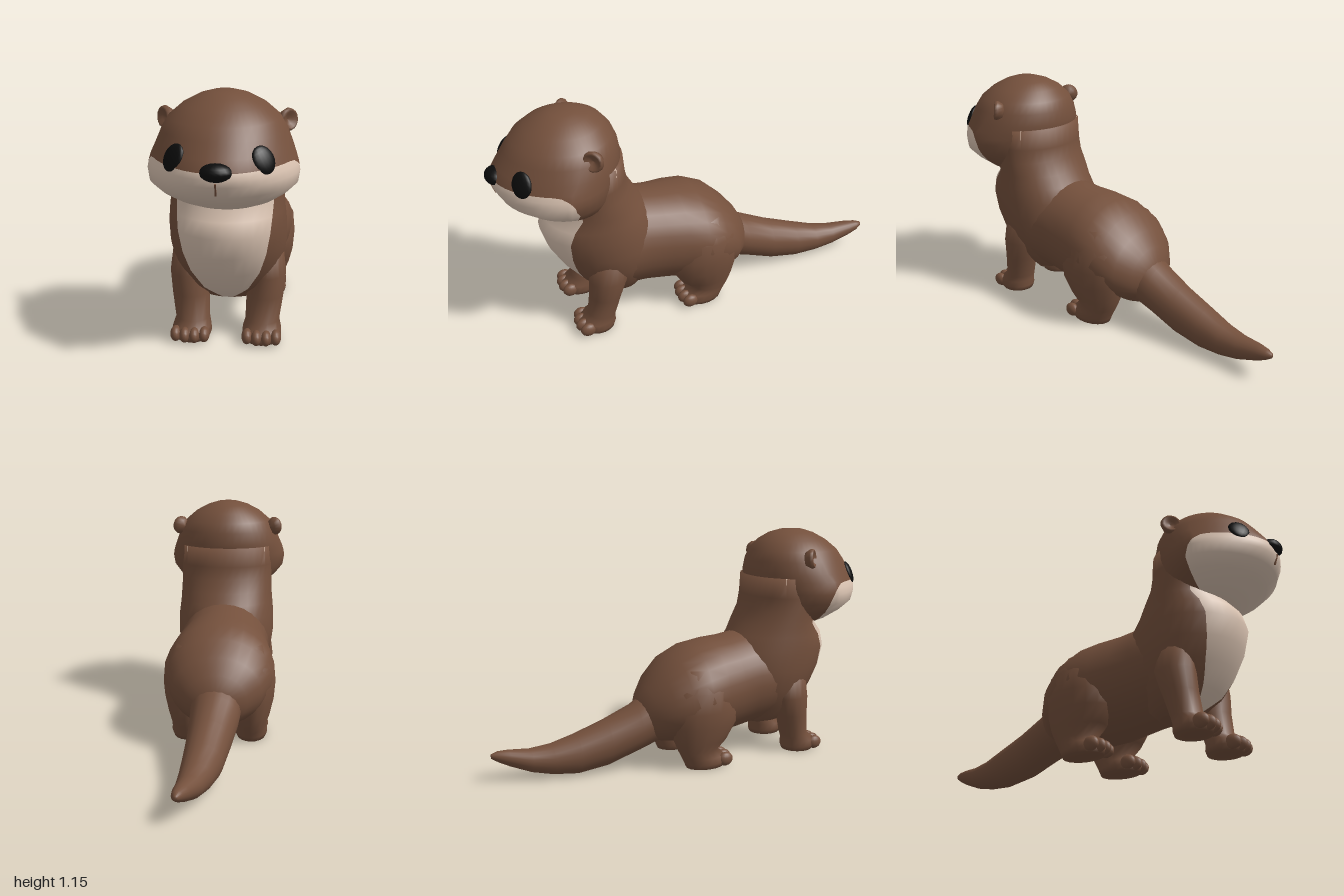
import * as THREE from 'three';

const material = (name, color, side = THREE.FrontSide) => {
  const m = new THREE.MeshStandardMaterial({ color, side });
  m.name = name;
  return m;
};

// Skin through oval rings. Each ring: [position on axis, low, high, centre x, half width, widest, front sharpness].
// axis 'y': rings go upward, low/high are z. axis 'z': rings go backward, low/high are y.
function loft(rings, axis, seg = 28) {
  const pos = [], idx = [];
  const put = (x, a, b) => (axis === 'y' ? pos.push(x, a, b) : pos.push(x, b, a));
  for (const [a, lo, hi, xc, w, mid = (lo + hi) / 2, p = 1] of rings) {
    for (let j = 0; j < seg; j++) {
      const t = (j / seg) * Math.PI * 2, c = Math.cos(t);
      put(xc + w * Math.sin(t), a, c > 0 ? mid + (hi - mid) * c ** p : mid + (mid - lo) * c);
    }
  }
  const n = rings.length;
  for (let i = 0; i < n - 1; i++) {
    for (let j = 0; j < seg; j++) {
      const k = (j + 1) % seg, r = i * seg, s = r + seg;
      idx.push(r + j, r + k, s + k, r + j, s + k, s + j);
    }
  }
  // End caps
  [0, n - 1].forEach((i, end) => {
    const [a, lo, hi, xc] = rings[i], centre = pos.length / 3;
    put(xc, a, (lo + hi) / 2);
    for (let j = 0; j < seg; j++) {
      const u = i * seg + j, v = i * seg + ((j + 1) % seg);
      end ? idx.push(centre, u, v) : idx.push(centre, v, u);
    }
  });
  const g = new THREE.BufferGeometry();
  g.setAttribute('position', new THREE.Float32BufferAttribute(pos, 3));
  g.setIndex(idx);
  g.computeVertexNormals();
  return g;
}

// Cuts a geometry cleanly where field(x, y, z) = 0; group 0 is outside, group 1 is inside.
function paint(geometry, field) {
  const g = geometry.toNonIndexed(), P = g.attributes.position, N = g.attributes.normal;
  const sides = [[], []];
  for (let i = 0; i < P.count; i += 3) {
    const tri = [0, 1, 2].map((k) => {
      const p = new THREE.Vector3().fromBufferAttribute(P, i + k);
      return { p, n: new THREE.Vector3().fromBufferAttribute(N, i + k), f: field(p.x, p.y, p.z) };
    });
    [-1, 1].forEach((sign, s) => {
      const poly = [];
      tri.forEach((a, k) => {
        const b = tri[(k + 1) % 3];
        if (a.f * sign >= 0) poly.push(a);
        if (a.f * b.f < 0) {
          const t = a.f / (a.f - b.f);
          poly.push({ p: a.p.clone().lerp(b.p, t), n: a.n.clone().lerp(b.n, t).normalize() });
        }
      });
      for (let k = 1; k < poly.length - 1; k++) sides[s].push(poly[0], poly[k], poly[k + 1]);
    });
  }
  const all = [...sides[0], ...sides[1]], out = new THREE.BufferGeometry();
  out.setAttribute('position', new THREE.Float32BufferAttribute(all.flatMap((v) => v.p.toArray()), 3));
  out.setAttribute('normal', new THREE.Float32BufferAttribute(all.flatMap((v) => v.n.toArray()), 3));
  out.addGroup(0, sides[0].length, 0);
  out.addGroup(sides[0].length, sides[1].length, 1);
  return out;
}

export function createModel() {
  const model = new THREE.Group();
  model.name = 'otter';
  const brown = material('brown fur', 0x74503c);
  const cream = material('cream fur', 0xdcc5b3);
  const black = material('black', 0x0c0c0c);
  const add = (name, geometry, mat) => {
    const m = new THREE.Mesh(geometry, mat);
    m.name = name;
    model.add(m);
    return m;
  };
  const blob = (name, mat, [x, y, z], [sx, sy, sz]) => {
    const m = add(name, new THREE.SphereGeometry(1, 16, 10), mat);
    m.position.set(x, y, z);
    m.scale.set(sx, sy, sz);
    return m;
  };

  // Torso, from chest back to rump
  add('torso', loft([
    [0.6, 0.27, 0.5, 0, 0.15], [0.5, 0.18, 0.6, 0, 0.23], [0.4, 0.152, 0.635, 0, 0.245],
    [0.3, 0.14, 0.638, 0, 0.24], [0.2, 0.125, 0.622, 0, 0.25], [0.1, 0.112, 0.615, 0, 0.27],
    [0, 0.105, 0.597, 0, 0.284], [-0.1, 0.11, 0.55, 0, 0.27], [-0.18, 0.12, 0.475, 0, 0.225],
    [-0.24, 0.14, 0.4, 0, 0.155], [-0.28, 0.18, 0.33, 0, 0.08],
  ], 'z'), brown);

  // Tail, swinging slightly to the left at its tip
  add('tail', loft([
    [-0.1, 0.14, 0.42, 0, 0.13], [-0.2, 0.115, 0.385, 0, 0.13], [-0.3, 0.08, 0.32, 0.003, 0.12],
    [-0.45, 0.025, 0.255, 0.018, 0.105], [-0.6, 0.003, 0.2, 0.032, 0.094],
    [-0.72, 0.013, 0.163, 0.05, 0.077], [-0.82, 0.035, 0.15, 0.067, 0.06],
    [-0.92, 0.075, 0.155, 0.087, 0.041], [-0.97, 0.1, 0.153, 0.097, 0.027], [-1, 0.12, 0.143, 0.1, 0.01],
  ], 'z', 20), brown);

  // Chest and neck column with a cream bib
  const chest = loft([
    [0.145, 0.35, 0.46, 0, 0.08], [0.17, 0.3, 0.53, 0, 0.15], [0.25, 0.25, 0.63, 0, 0.21],
    [0.35, 0.2, 0.705, 0, 0.25], [0.45, 0.2, 0.758, 0, 0.264], [0.55, 0.22, 0.785, 0, 0.264],
    [0.62, 0.27, 0.765, 0, 0.257], [0.68, 0.305, 0.715, 0, 0.252], [0.75, 0.345, 0.72, 0, 0.25],
    [0.82, 0.36, 0.72, 0, 0.25], [0.92, 0.368, 0.7, 0, 0.245],
  ], 'y', 36);
  add('chestAndNeck', paint(chest, (x, y, z) =>
    Math.min(0.22 * (1 - Math.exp((0.15 - y) / 0.17)) - Math.abs(x), z - 0.45)), [brown, cream]);

  // Head with broad cheeks, pointed snout and cream muzzle
  const head = loft([
    [0.665, 0.45, 0.72, 0, 0.14, 0.62], [0.7, 0.42, 0.8, 0, 0.215, 0.63], [0.745, 0.42, 0.885, 0, 0.272, 0.66, 1.1],
    [0.79, 0.41, 0.945, 0, 0.312, 0.69, 1.25], [0.84, 0.4, 0.972, 0, 0.32, 0.69, 1.4],
    [0.87, 0.39, 0.976, 0, 0.315, 0.685, 1.45], [0.9, 0.38, 0.97, 0, 0.306, 0.68, 1.45],
    [0.94, 0.376, 0.942, 0, 0.29, 0.65, 1.25], [1, 0.385, 0.9, 0, 0.266, 0.63, 1.1],
    [1.05, 0.405, 0.862, 0, 0.236, 0.62], [1.1, 0.445, 0.8, 0, 0.178, 0.62],
    [1.135, 0.5, 0.735, 0, 0.112, 0.62], [1.152, 0.56, 0.68, 0, 0.055, 0.62],
  ], 'y', 44);
  add('head', paint(head, (x, y, z) =>
    Math.min(0.896 - y - 9 * Math.max(0, 0.75 - z) ** 2, z - 0.655)), [brown, cream]);

  // Nose and the short line down to the mouth
  blob('nose', black, [0, 0.896, 0.95], [0.066, 0.038, 0.05]);
  const line = add('mouthLine', new THREE.BoxGeometry(0.007, 0.055, 0.008), brown);
  line.position.set(0, 0.832, 0.967);
  line.rotation.x = 0.3;

  const earProfile = [[0, -0.035], [0.035, -0.028], [0.05, 0], [0.046, 0.014], [0.036, 0.016], [0.022, 0.002], [0, -0.004]]
    .map(([r, y]) => new THREE.Vector2(r, y));

  const frontLeg = [
    [0, 0.495, 0.665, 0.16, 0.08], [0.025, 0.487, 0.685, 0.16, 0.09], [0.055, 0.49, 0.675, 0.16, 0.088],
    [0.085, 0.482, 0.625, 0.16, 0.078], [0.2, 0.45, 0.612, 0.17, 0.085],
    [0.3, 0.415, 0.61, 0.18, 0.085], [0.42, 0.4, 0.6, 0.17, 0.08],
  ];
  const hindLeg = [
    [0, -0.09, 0.12, 0.165, 0.075], [0.025, -0.1, 0.135, 0.165, 0.085], [0.055, -0.115, 0.12, 0.165, 0.082],
    [0.085, -0.13, 0.07, 0.165, 0.08], [0.14, -0.155, 0.13, 0.165, 0.098], [0.22, -0.175, 0.18, 0.165, 0.117],
    [0.3, -0.185, 0.19, 0.165, 0.124], [0.4, -0.17, 0.17, 0.155, 0.125], [0.5, -0.1, 0.1, 0.13, 0.09],
  ];

  for (const [side, s] of [['left', 1], ['right', -1]]) {
    // Eyes lie along the curved face
    const eye = blob(side + 'Eye', black, [s * 0.178, 0.928, 0.868], [0.052, 0.06, 0.02]);
    eye.rotation.set(-0.4, s * 0.7, s * 0.3, 'YXZ');

    // Cupped ears turned outward and forward
    const ear = add(side + 'Ear', new THREE.LatheGeometry(earProfile, 14), brown);
    ear.position.set(s * 0.262, 1.022, 0.565);
    ear.quaternion.setFromUnitVectors(new THREE.Vector3(0, 1, 0), new THREE.Vector3(s * 0.75, 0.1, 0.65).normalize());

    // Legs with four rounded toes each
    for (const [name, rings, toeZ] of [['FrontLeg', frontLeg, 0.665], ['HindLeg', hindLeg, 0.115]]) {
      add(side + name, loft(rings.map(([y, lo, hi, x, w]) => [y, lo, hi, s * x, w]), 'y', 18), brown);
      for (let i = 0; i < 4; i++) {
        const o = i - 1.5;
        blob(side + name + 'Toe' + (i + 1), brown,
          [s * 0.162 + o * 0.043, 0.036, toeZ - Math.abs(o) * 0.012], [0.025, 0.035, 0.04]);
      }
    }
  }
  return model;
}
